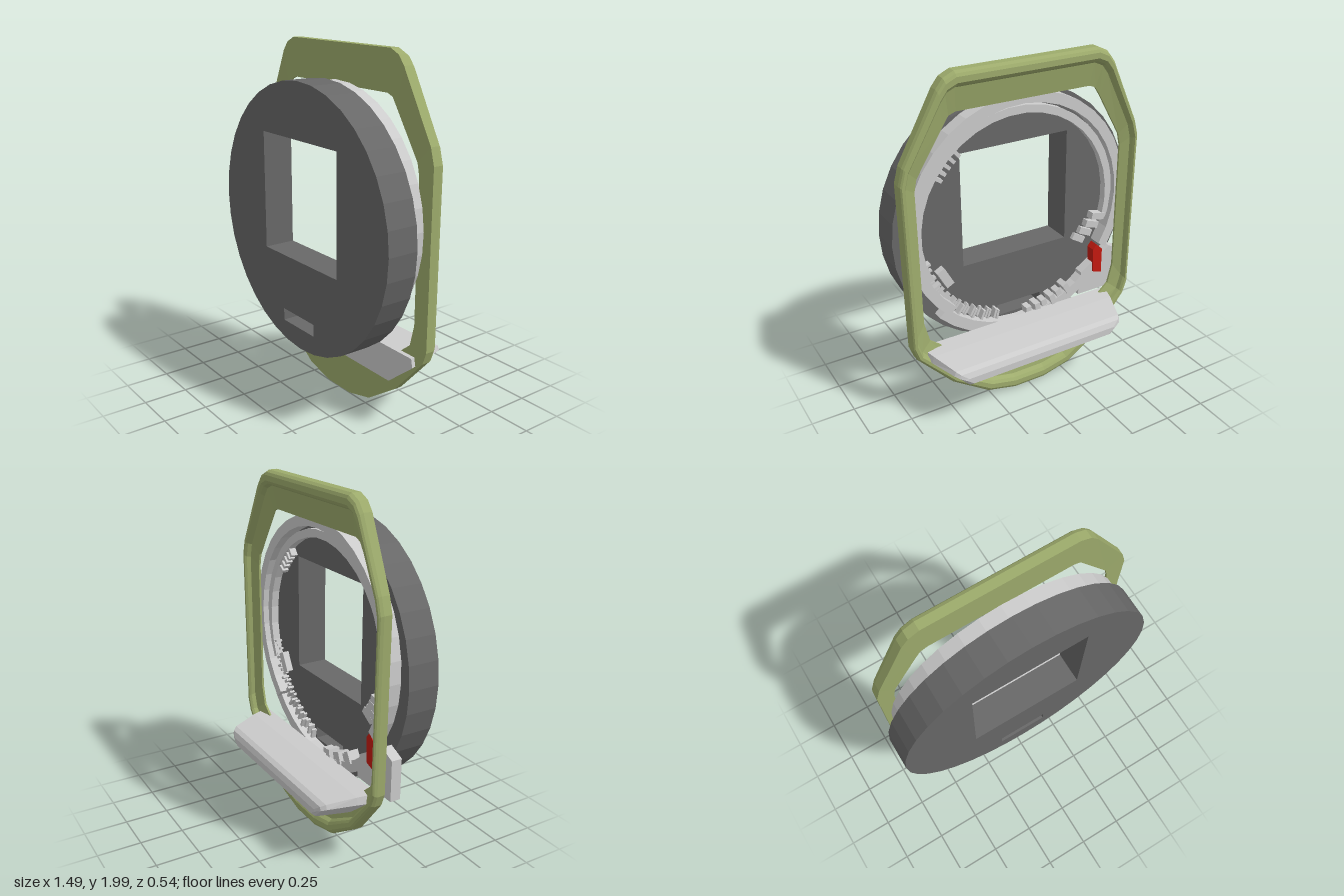
import * as THREE from 'three';

const mat = (color) => new THREE.MeshStandardMaterial({ color, flatShading: true, side: THREE.DoubleSide });
const grey = mat(0xcccccc), dark = mat(0x686868), green = mat(0x9dab6c), red = mat(0xc41a10);

function add(group, name, geometry, material) {
  const mesh = new THREE.Mesh(geometry, material);
  mesh.name = name;
  group.add(mesh);
  return mesh;
}

// Skin rings of points (anticlockwise seen from +z, running front to back).
function loft(rings, closed) {
  const n = rings[0].length, pos = rings.flat(2), idx = [], m = rings.length;
  for (let i = 0; i < (closed ? m : m - 1); i++) {
    for (let j = 0; j < n; j++) {
      const k = (j + 1) % n, p = i * n, q = ((i + 1) % m) * n;
      idx.push(p + j, q + j, q + k, p + j, q + k, p + k);
    }
  }
  if (!closed) {
    const e = (m - 1) * n;
    for (let j = 1; j < n - 1; j++) idx.push(0, j, j + 1, e, e + j + 1, e + j);
  }
  const g = new THREE.BufferGeometry();
  g.setAttribute('position', new THREE.Float32BufferAttribute(pos, 3));
  g.setIndex(idx);
  const flat = g.toNonIndexed();
  flat.computeVertexNormals();
  return flat;
}

function extrude(shape, z0, z1, curveSegments = 1) {
  return new THREE.ExtrudeGeometry(shape, { depth: z1 - z0, bevelEnabled: false, curveSegments }).translate(0, 0, z0);
}

function polygon(points, Type = THREE.Shape) {
  return new Type(points.map(([x, y]) => new THREE.Vector2(x, y)));
}

function rect(x0, y0, x1, y1) {
  return polygon([[x0, y0], [x1, y0], [x1, y1], [x0, y1]], THREE.Path);
}

// Part of a flat ring, angles in degrees.
function arc(cx, cy, r0, r1, a0, a1, z0, z1) {
  const steps = Math.ceil((a1 - a0) / 10), outer = [], inner = [];
  for (let i = 0; i <= steps; i++) {
    const a = THREE.MathUtils.degToRad(a0 + (a1 - a0) * i / steps);
    outer.push([cx + r1 * Math.cos(a), cy + r1 * Math.sin(a)]);
    inner.unshift([cx + r0 * Math.cos(a), cy + r0 * Math.sin(a)]);
  }
  return extrude(polygon([...outer, ...inner]), z0, z1);
}

export function createModel() {
  const model = new THREE.Group();
  model.name = 'model';

  // Thick disc with a square window and a slot
  const disc = [];
  for (let i = 0; i < 36; i++) {
    const a = (i * Math.PI) / 18;
    disc.push([0.747 * Math.cos(a), 1.07 + 0.747 * Math.sin(a)]);
  }
  const plate = polygon(disc);
  plate.holes.push(rect(-0.33, 0.84, 0.34, 1.51), rect(-0.16, 0.445, 0.13, 0.515));
  add(model, 'disc', extrude(plate, 0.09, 0.27), dark);

  // Stepped ring behind the disc, open at the bottom
  add(model, 'ring', arc(0.01, 1.115, 0.63, 0.69, -48, 212, 0.01, 0.091), grey);
  add(model, 'ringStep', arc(0.01, 1.09, 0.59, 0.635, -25, 195, 0.045, 0.091), grey);
  add(model, 'ringLowerArc', arc(0, 1.07, 0.645, 0.71, 225, 318, 0.03, 0.098), grey);

  // Side bracket
  add(model, 'sideBracket', extrude(polygon([
    [-0.71, 0.455], [-0.4, 0.455], [-0.42, 0.6], [-0.62, 0.73], [-0.71, 0.69]]), 0.03, 0.091), grey);

  // Small teeth and blocks along the inside of the ring
  const blocks = new THREE.Group();
  blocks.name = 'ringTeeth';
  model.add(blocks);
  const block = (deg, r, w, h, z0) => {
    const a = THREE.MathUtils.degToRad(deg);
    const m = add(blocks, 'tooth', new THREE.BoxGeometry(w, h, 0.091 - z0), grey);
    m.position.set(r * Math.cos(a), 1.07 + r * Math.sin(a), (z0 + 0.091) / 2);
    m.rotation.z = a;
  };
  for (let i = 0; i < 26; i++) block(-14 - i * 2.5, 0.6 + 0.015 * (i % 2), 0.06, 0.014, 0.05 + 0.01 * (i % 3));
  for (let i = 0; i < 5; i++) block(35 + i * 4, 0.59, 0.05, 0.02, 0.05);
  for (let i = 0; i < 6; i++) block(240 + i * 5, 0.625, 0.07 - 0.02 * (i % 2), 0.035, 0.02 + 0.015 * (i % 2));
  for (let i = 0; i < 4; i++) block(193 + i * 6, 0.55 - 0.02 * i, 0.09, 0.04, 0.04 + 0.01 * i);
  block(-28, 0.53, 0.05, 0.12, 0.05);

  // Red catch
  const latch = add(model, 'redCatch', extrude(polygon([
    [-0.03, -0.1], [0.03, -0.08], [0.035, 0.07], [0.01, 0.1], [-0.03, 0.06]]), 0, 0.06), red);
  latch.position.set(-0.53, 0.67, 0.02);

  // Surrounding frame: outer x, y and inner x, y from bottom to top of one half
  const half = [
    [0.1, 0.005, 0.1, 0.228], [0.28, 0.05, 0.2, 0.24], [0.5, 0.2, 0.4, 0.33],
    [0.71, 0.43, 0.61, 0.5], [0.735, 0.5, 0.64, 0.62], [0.745, 1.47, 0.645, 1.4],
    [0.72, 1.56, 0.63, 1.47], [0.52, 1.92, 0.47, 1.72], [0.48, 1.97, 0.44, 1.765],
    [0.42, 1.998, 0.4, 1.78]];
  const other = half.map(([a, b, c, d]) => [a > 0.6 ? 0.035 - a : -a, b, c > 0.6 ? 0.02 - c : -c, d]).reverse();
  // Cross-section as [share of the way inwards, z]
  const section = [[0, 0], [0, -0.045], [0.05, -0.062], [0.12, -0.07], [0.26, -0.07],
    [0.34, -0.058], [0.4, -0.035], [1, -0.012], [1, 0]];
  add(model, 'frame', loft(section.map(([t, z]) => [...half, ...other].map(([a, b, c, d]) => [
    a + (c - a) * t, b + (d - b) * t,
    b > 1.6 ? z * 1.1 + 0.003 : z])), true), green);

  // Tapered tray projecting to the rear: z, top y, bottom y, half widths, centre x
  const tray = [
    [0.028, 0.448, 0.25, 0.635, 0.45], [-0.08, 0.44, 0.275, 0.605, 0.46],
    [-0.235, 0.415, 0.312, 0.55, 0.47], [-0.26, 0.4, 0.32, 0.53, 0.47], [-0.274, 0.37, 0.33, 0.49, 0.45]];
  add(model, 'rearTray', loft(tray.map(([z, top, low, wt, wl]) => {
    const c = 0.03, mid = low + (top - low) * 0.75;
    return [[c - wl, low, z], [c + wl, low, z], [c + wt, mid, z], [c + wt - 0.01, top, z],
      [c - wt + 0.01, top, z], [c - wt, mid, z]];
  }), false), grey);

  return model;
}
